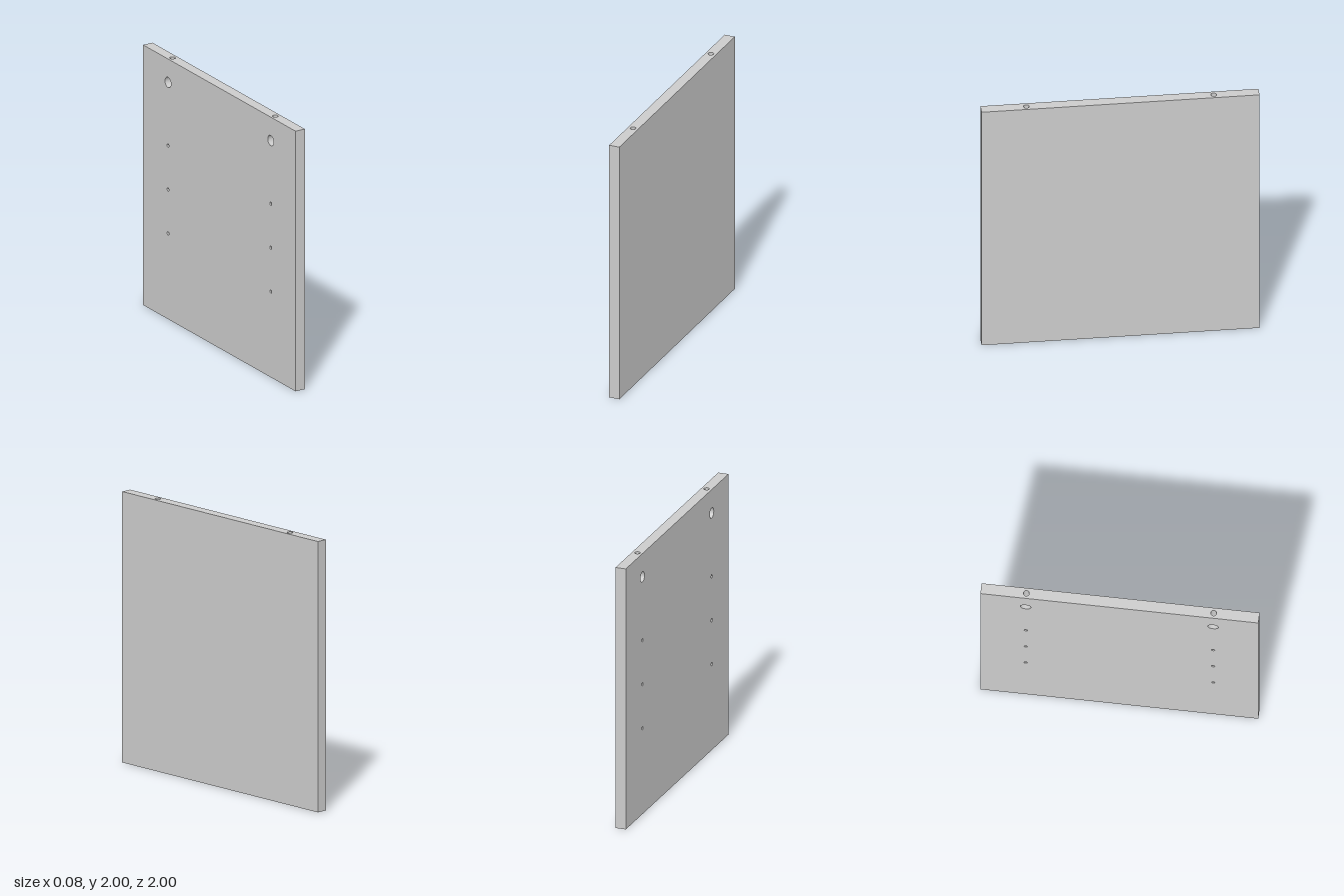
import * as THREE from 'three';

const SIZE = 2, THICK = 0.079;      // square panel and its thickness
const HOLE_Z = 0.674;               // all holes sit on two lines, z = +-HOLE_Z
const CAM_Y = 1.82, CAM_R = 0.039, CAM_DEPTH = 0.066;
const BOLT_R = 0.021;               // bores in the top edge, running into the cam pockets
const PIN_R = 0.013, PIN_DEPTH = 0.06;
const PIN_ROWS = [1.333, 0.996, 0.659];

export function createModel() {
  const group = new THREE.Group();
  const material = new THREE.MeshStandardMaterial({ color: 0xcccccc });
  const inside = new THREE.MeshStandardMaterial({ color: 0xcccccc, side: THREE.BackSide });

  const add = (name, geometry, mat = material, parent = group) => {
    const mesh = new THREE.Mesh(geometry, mat);
    mesh.name = name;
    parent.add(mesh);
    return mesh;
  };

  // Flat rectangle facing +z, pierced by round holes [x, y, radius]
  const face = (w, h, holes = []) => {
    const shape = new THREE.Shape([[-1, -1], [1, -1], [1, 1], [-1, 1]]
      .map(([x, y]) => new THREE.Vector2(x * w / 2, y * h / 2)));
    for (const [x, y, r] of holes) {
      shape.holes.push(new THREE.Path().absarc(x, y, r, 0, Math.PI * 2, true));
    }
    return new THREE.ShapeGeometry(shape, 16);
  };

  // Blind hole whose mouth is at y = 0 and which goes down to -depth
  const blindHole = (name, r, depth) => {
    const hole = new THREE.Group();
    hole.name = name;
    add(name + 'Wall', new THREE.CylinderGeometry(r, r, depth, 32, 1, true).translate(0, -depth / 2, 0), inside, hole);
    add(name + 'Floor', new THREE.CircleGeometry(r, 32).rotateX(-Math.PI / 2).translate(0, -depth, 0), material, hole);
    group.add(hole);
    return hole;
  };

  // Cam pocket: its wall is split into two bands that part around the bolt bore
  const camPocket = () => {
    const wall = new THREE.CylinderGeometry(CAM_R, CAM_R, CAM_DEPTH, 96, 3, true).translate(0, -CAM_DEPTH / 2, 0);
    const pos = wall.attributes.position;
    for (let i = 0; i < pos.count; i++) {
      const row = Math.floor(i / 97);
      if (row !== 1 && row !== 2) continue;
      const z = pos.getZ(i);
      const open = pos.getX(i) > 0 ? Math.sqrt(Math.max(0, BOLT_R ** 2 - z * z)) : 0;
      pos.setY(i, -THICK / 2 + (row === 1 ? open : -open));
    }
    // leave out the middle band, which is the opening
    wall.setIndex(Array.from(wall.index.array).filter((_, i) => i % 18 < 6 || i % 18 > 11));
    const pocket = new THREE.Group();
    pocket.name = 'camPocket';
    add('camPocketWall', wall, inside, pocket);
    add('camPocketFloor', new THREE.CircleGeometry(CAM_R, 32).rotateX(-Math.PI / 2).translate(0, -CAM_DEPTH, 0), material, pocket);
    group.add(pocket);
    return pocket;
  };

  // Bolt bore: its lower end follows the round wall of the cam pocket
  const boltBore = (z0) => {
    const geometry = new THREE.CylinderGeometry(BOLT_R, BOLT_R, 1, 32, 1, true);
    const pos = geometry.attributes.position;
    for (let i = 0; i < pos.count; i++) {
      const end = CAM_Y + Math.sqrt(CAM_R ** 2 - pos.getZ(i) ** 2);
      pos.setY(i, pos.getY(i) > 0 ? SIZE : end);
    }
    add('boltBore', geometry, inside).position.z = z0;
  };

  // Panel faces
  const sides = [-HOLE_Z, HOLE_Z];
  const drilled = sides.flatMap((z) => [
    [z, CAM_Y - 1, CAM_R],
    ...PIN_ROWS.map((y) => [z, y - 1, PIN_R]),
  ]);
  const H = SIZE / 2, T = THICK / 2, Q = Math.PI / 2;
  add('drilledFace', face(SIZE, SIZE, drilled).rotateY(-Q).translate(-T, H, 0));
  add('plainFace', face(SIZE, SIZE).rotateY(Q).translate(T, H, 0));
  add('frontEdge', face(THICK, SIZE).translate(0, H, H));
  add('backEdge', face(THICK, SIZE).rotateY(Math.PI).translate(0, H, -H));
  add('topEdge', face(THICK, SIZE, sides.map((z) => [0, z, BOLT_R])).rotateX(-Q).translate(0, SIZE, 0));
  add('bottomEdge', face(THICK, SIZE, sides.map((z) => [0, z, PIN_R])).rotateX(Q));

  // Holes, the same on both lines
  for (const z of sides) {
    const cam = camPocket();
    cam.rotation.z = Q;
    cam.position.set(-T, CAM_Y, z);
    boltBore(z);
    for (const y of PIN_ROWS) {
      const pin = blindHole('shelfPinHole', PIN_R, 0.053);
      pin.rotation.z = Q;
      pin.position.set(-T, y, z);
    }
    const dowel = blindHole('bottomDowelHole', PIN_R, PIN_DEPTH);
    dowel.rotation.x = Math.PI;
    dowel.position.set(0, 0, z);
  }
  return group;
}
